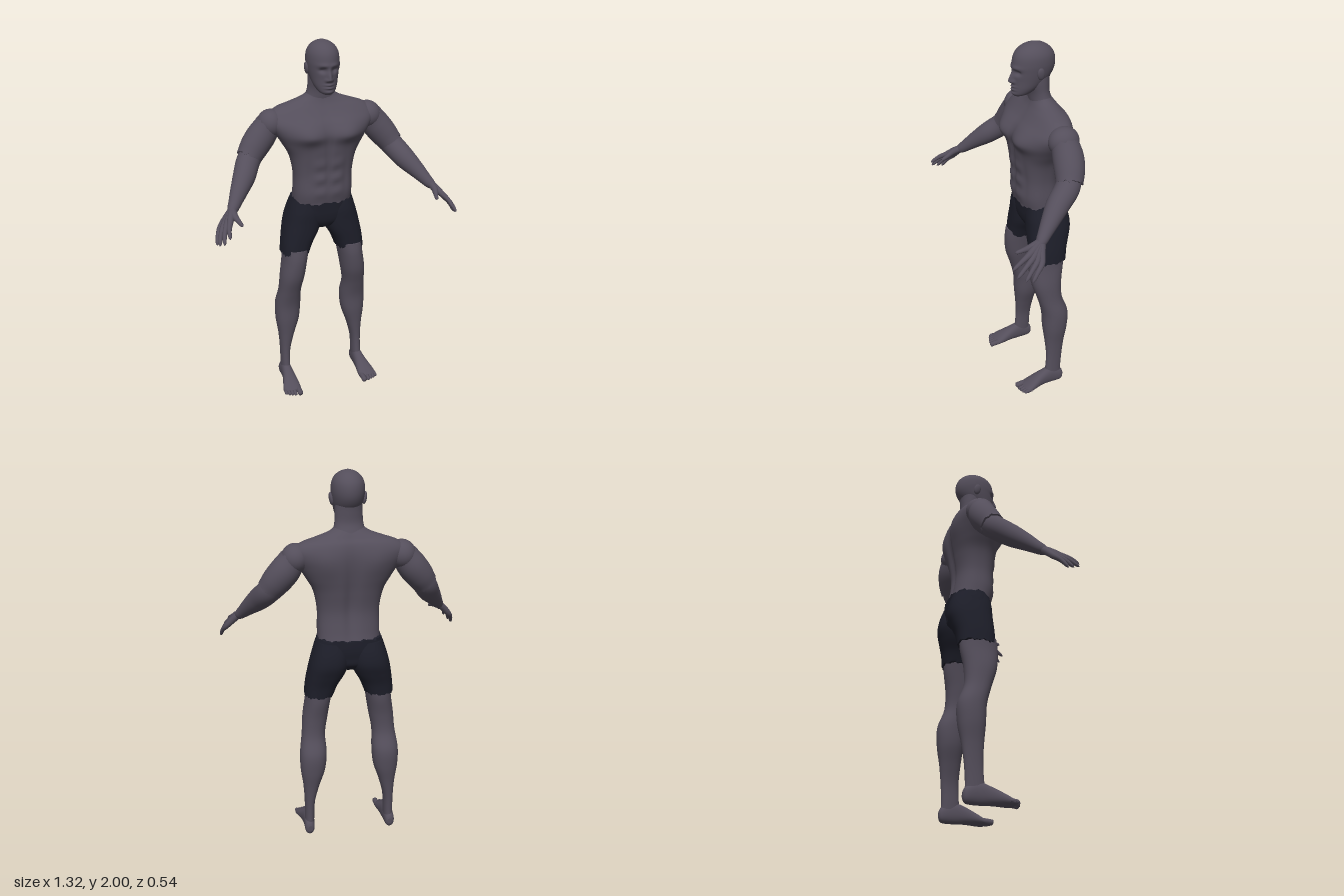
import * as THREE from 'three';

const skin = new THREE.MeshStandardMaterial({ color: 0x544e5b });
skin.name = 'skin';
const cloth = new THREE.MeshStandardMaterial({ color: 0x1d1e29 });
cloth.name = 'dark cloth';

const bell = (d, s) => Math.exp(-(d * d) / (s * s));
const jag = (a) => 0.004 * Math.sin(a * 9) + 0.004 * Math.sin(a * 23 + 1);

// Smooth interpolation through rows of numbers, t from 0 to 1
function sample(rows, t) {
  const last = rows.length - 1;
  const f = Math.min(t * last, last - 1e-6), i = Math.floor(f), u = f - i;
  const row = (k) => rows[Math.max(0, Math.min(last, k))];
  return rows[0].map((_, c) => {
    const [a, b, d, e] = [row(i - 1)[c], row(i)[c], row(i + 1)[c], row(i + 2)[c]];
    const m0 = (d - a) / 2, m1 = (e - b) / 2;
    return b + u * (m0 + u * (3 * (d - b) - 2 * m0 - m1 + u * (2 * (b - d) + m0 + m1)));
  });
}

// Closed surface over a stack of rings, with separate end caps
function bridge(rings) {
  const n = rings[0].length, pos = [], idx = [];
  rings.forEach((r) => r.forEach((p) => pos.push(p.x, p.y, p.z)));
  for (let j = 0; j < rings.length - 1; j++) {
    for (let i = 0; i < n; i++) {
      const k = (i + 1) % n, a = j * n + i, b = j * n + k;
      idx.push(a, a + n, b, b, a + n, b + n);
    }
  }
  [rings[0], rings[rings.length - 1]].forEach((r, top) => {
    const base = pos.length / 3;
    const c = r.reduce((s, p) => s.add(p), new THREE.Vector3()).divideScalar(n);
    [...r, c].forEach((p) => pos.push(p.x, p.y, p.z));
    for (let i = 0; i < n; i++) {
      const a = base + i, b = base + (i + 1) % n;
      if (top) idx.push(base + n, b, a);
      else idx.push(base + n, a, b);
    }
  });
  const g = new THREE.BufferGeometry();
  g.setAttribute('position', new THREE.Float32BufferAttribute(pos, 3));
  g.setIndex(idx);
  g.computeVertexNormals();
  return g;
}

// Upright loft; each row is [y, x0, x1, zFront, zBack, power]
function loft(rows, n = 40, steps = 40, shape = () => {}) {
  const rings = [];
  for (let j = 0; j <= steps; j++) {
    const [y, x0, x1, zf, zb, pw = 2] = sample(rows, j / steps);
    const ring = [];
    for (let i = 0; i < n; i++) {
      const a = (i / n) * Math.PI * 2, c = Math.cos(a), s = Math.sin(a);
      const e = (v) => Math.sign(v) * Math.abs(v) ** (2 / pw);
      const p = new THREE.Vector3((x0 + x1) / 2 + e(c) * (x1 - x0) / 2, y, (zf + zb) / 2 + e(s) * (zf - zb) / 2);
      shape(p, s, a, j / steps);
      ring.push(p);
    }
    rings.push(ring);
  }
  return bridge(rings);
}

// Limb along a path; each row is [x, y, z, radius]
function limb(rows, n = 12, steps = 20, round = true, torn = false) {
  const curve = new THREE.CatmullRomCurve3(rows.map((r) => new THREE.Vector3(r[0], r[1], r[2])));
  const fr = curve.computeFrenetFrames(steps);
  const rings = [];
  for (let j = 0; j <= steps; j++) {
    const t = j / steps, c = curve.getPoint(curve.getUtoTmapping(t)), k = curve.getUtoTmapping(t);
    let r = sample(rows, k)[3];
    if (round && t > 0.88) r *= Math.sqrt(Math.max(0.02, 1 - ((t - 0.88) / 0.12) ** 2));
    const ring = [];
    for (let i = 0; i < n; i++) {
      const a = (i / n) * Math.PI * 2;
      const p = c.clone().addScaledVector(fr.normals[j], r * Math.cos(a)).addScaledVector(fr.binormals[j], -r * Math.sin(a));
      if (torn && (j === 0 || j === steps)) p.addScaledVector(fr.tangents[j], jag(a));
      ring.push(p);
    }
    rings.push(ring);
  }
  return bridge(rings);
}

// Symmetric rows [y, halfWidth, zFront, zBack, power] for the trunk and head
const even = (rows) => rows.map(([y, w, f, b, p = 2]) => [y, -w, w, f, b, p]);
// Rows for one side of the body
const sided = (rows, s) => rows.map(([y, i, o, f, b, p = 2.2]) => [y, s > 0 ? i : -o, s > 0 ? o : -i, f, b, p]);
const flip = (rows, s) => rows.map(([x, ...r]) => [x * s, ...r]);

export function createModel() {
  const model = new THREE.Group();
  const add = (name, geo, mat = skin, parent = model) => {
    const m = new THREE.Mesh(geo, mat);
    m.name = name;
    parent.add(m);
    return m;
  };
  const ball = (name, x, y, z, sx, sy, sz, parent) => {
    const m = add(name, new THREE.SphereGeometry(1, 24, 16), skin, parent);
    m.position.set(x, y, z);
    m.scale.set(sx, sy, sz);
    return m;
  };

  // Trunk with chest, stomach and back muscles, ragged at the waist
  add('torso', loft(even([
    [1.14, 0.162, -0.012, -0.238, 2.4], [1.2, 0.163, 0, -0.226, 2.4], [1.3, 0.162, 0, -0.215, 2.4],
    [1.4, 0.182, 0.008, -0.228, 2.4], [1.47, 0.22, 0.012, -0.24, 2.4], [1.53, 0.258, 0.014, -0.248, 2.4],
    [1.58, 0.285, -0.005, -0.25, 2.4], [1.62, 0.285, -0.035, -0.246, 2.3], [1.655, 0.245, -0.06, -0.235, 2.2],
    [1.68, 0.175, -0.075, -0.217, 2], [1.705, 0.105, -0.085, -0.2, 2], [1.73, 0.07, -0.09, -0.18, 2],
  ]), 96, 80, (p, s, a, t) => {
    const ax = Math.abs(p.x), y = p.y;
    if (s > 0) {
      p.z += s * (0.034 * bell(ax - 0.11, 0.085) * bell(y - 1.525, y < 1.525 ? 0.045 : 0.07)
        - 0.008 * bell(ax, 0.014) * bell(y - 1.4, 0.2)
        + 0.005 * bell(ax - 0.045, 0.035) * Math.cos((y - 1.2) * 75) * bell(y - 1.29, 0.1)
        - 0.006 * bell(ax - 0.1, 0.02) * bell(y - 1.3, 0.12));
    } else {
      p.z -= s * (0.02 * bell(ax, 0.03) * bell(y - 1.38, 0.25) - 0.01 * bell(ax - 0.13, 0.07) * bell(y - 1.56, 0.08));
    }
    if (t === 0) p.y += jag(a);
  }));
  add('neck', loft(even([
    [1.64, 0.14, -0.085, -0.215], [1.68, 0.11, -0.085, -0.208], [1.71, 0.083, -0.083, -0.195],
    [1.75, 0.072, -0.078, -0.182], [1.8, 0.07, -0.06, -0.182], [1.84, 0.068, -0.05, -0.185],
  ])));

  // Bald head with brow, eye hollows, nose, lips and chin
  add('head', loft(even([
    [1.737, 0.02, 0.002, -0.05], [1.75, 0.042, 0.01, -0.085], [1.78, 0.06, 0.01, -0.13], [1.82, 0.072, 0.01, -0.178],
    [1.86, 0.08, 0.012, -0.204], [1.9, 0.084, 0.011, -0.212], [1.94, 0.08, 0.002, -0.205], [1.97, 0.064, -0.02, -0.183],
    [1.99, 0.038, -0.055, -0.152], [2.0, 0.008, -0.095, -0.115],
  ]), 120, 90, (p, s) => {
    if (s <= 0) return;
    const ax = Math.abs(p.x), y = p.y;
    p.z += s * (0.024 * bell(ax, 0.012) * bell(y - 1.817, y < 1.817 ? 0.012 : 0.035)
      + 0.009 * bell(ax - 0.014, 0.009) * bell(y - 1.813, 0.009)
      - 0.016 * bell(ax - 0.032, 0.018) * bell(y - 1.862, 0.013)
      + 0.006 * bell(ax - 0.03, 0.03) * bell(y - 1.885, 0.011)
      + 0.01 * bell(ax, 0.022) * (bell(y - 1.789, 0.006) + bell(y - 1.773, 0.006))
      + 0.006 * bell(ax, 0.022) * bell(y - 1.753, 0.009));
  }));

  // Shorts
  add('shortsSeat', loft(even([
    [0.985, 0.05, -0.06, -0.2], [1.02, 0.15, -0.04, -0.235], [1.06, 0.19, -0.032, -0.242],
    [1.1, 0.187, -0.03, -0.247], [1.155, 0.168, -0.028, -0.246],
  ].map((r) => [...r, 2.6])), 60, 24, (p, s, a, t) => { if (t === 1) p.y += jag(a); }), cloth);

  for (const s of [1, -1]) {
    const side = new THREE.Group();
    side.name = s > 0 ? 'leftSide' : 'rightSide';
    model.add(side);
    ball('ear', s * 0.084, 1.86, -0.105, 0.011, 0.032, 0.02, side).rotation.set(0.15, 0, -s * 0.15);

    add('shortsLeg', loft(sided([
      [0.84, 0.084, 0.238, -0.028, -0.224, 2.5], [0.9, 0.06, 0.232, -0.028, -0.232, 2.5],
      [0.96, 0.026, 0.222, -0.028, -0.25, 2.5], [1.02, 0.004, 0.21, -0.029, -0.266, 2.4],
      [1.08, 0.002, 0.193, -0.03, -0.26, 2.4], [1.14, 0.01, 0.172, -0.04, -0.24, 2.4],
    ], s), 48, 30, (p, q, a, t) => { if (t === 0) p.y += jag(a); }), cloth, side);

    // Leg from ankle to thigh
    add('leg', loft(sided([
      [0.04, 0.2, 0.252, -0.09, -0.198], [0.1, 0.198, 0.25, -0.1, -0.194], [0.2, 0.193, 0.25, -0.106, -0.2],
      [0.3, 0.168, 0.256, -0.1, -0.212], [0.4, 0.136, 0.269, -0.09, -0.229], [0.5, 0.126, 0.27, -0.084, -0.231],
      [0.6, 0.13, 0.256, -0.058, -0.197], [0.7, 0.114, 0.248, -0.026, -0.196], [0.8, 0.098, 0.233, -0.015, -0.212],
      [0.87, 0.085, 0.228, -0.02, -0.216],
    ], s), 40, 60), skin, side);

    // Foot, lofted from heel to ball, then toes
    const foot = loft(sided([
      [-0.206, 0.214, 0.238, -0.025, -0.06], [-0.19, 0.202, 0.254, -0.004, -0.085], [-0.13, 0.196, 0.256, 0, -0.11],
      [-0.07, 0.191, 0.263, -0.002, -0.092], [-0.01, 0.184, 0.28, 0, -0.062], [0.03, 0.184, 0.286, 0, -0.038],
      [0.045, 0.192, 0.28, -0.006, -0.028],
    ], s), 32, 30);
    foot.rotateX(Math.PI / 2);
    add('foot', foot, skin, side);
    for (let i = 0; i < 5; i++) {
      const x = s * (i ? 0.211 + i * 0.0165 : 0.2), r = i ? 0.0095 : 0.0155, z = 0.08 - i * 0.006 - (i === 4 ? 0.008 : 0);
      add('toe', limb([[x, 0.022, 0.01, r], [x, 0.02, 0.045, r], [x, r, z, r]], 12, 14), skin, side);
    }

    // Shoulder, torn sleeve of the upper arm, and forearm
    ball('shoulder', s * 0.272, 1.578, -0.142, 0.072, 0.075, 0.08, side).rotation.z = s * 0.3;
    add('upperArm', limb(flip([
      [0.285, 1.57, -0.142, 0.07], [0.325, 1.515, -0.142, 0.077], [0.365, 1.465, -0.132, 0.075], [0.402, 1.415, -0.115, 0.067],
    ], s), 36, 20, false, true), skin, side);
    add('forearm', limb(flip([
      [0.36, 1.46, -0.13, 0.06], [0.405, 1.405, -0.105, 0.062], [0.452, 1.342, -0.03, 0.058],
      [0.5, 1.285, 0.035, 0.044], [0.543, 1.232, 0.092, 0.03], [0.57, 1.205, 0.125, 0.026],
    ], s), 28, 36), skin, side);

    // Open hand: fingers run from the wrist through the knuckles and fuse into the palm
    const hand = new THREE.Group();
    hand.name = 'hand';
    side.add(hand);
    const knuckleA = new THREE.Vector3(0.583, 1.188, 0.18), knuckleB = new THREE.Vector3(0.622, 1.152, 0.13);
    [[0.605, 1.14, 0.27], [0.632, 1.108, 0.258], [0.648, 1.09, 0.222], [0.655, 1.082, 0.19]].forEach((tip, i) => {
      const k = knuckleA.clone().lerp(knuckleB, i / 3);
      const mid = k.clone().lerp(new THREE.Vector3(...tip), 0.5);
      add('finger', limb(flip([
        [0.548, 1.228, 0.098, 0.02], [(0.55 + k.x) / 2, (1.23 + k.y) / 2, (0.1 + k.z) / 2, 0.019],
        [k.x, k.y, k.z, 0.0155], [mid.x + 0.004, mid.y + 0.005, mid.z, 0.0115], [...tip, 0.009],
      ], s), 12, 28), skin, hand);
    });
    add('thumb', limb(flip([
      [0.55, 1.225, 0.105, 0.02], [0.552, 1.21, 0.15, 0.018], [0.54, 1.193, 0.19, 0.012], [0.53, 1.18, 0.226, 0.009],
    ], s), 12, 24), skin, hand);
  }
  return model;
}
